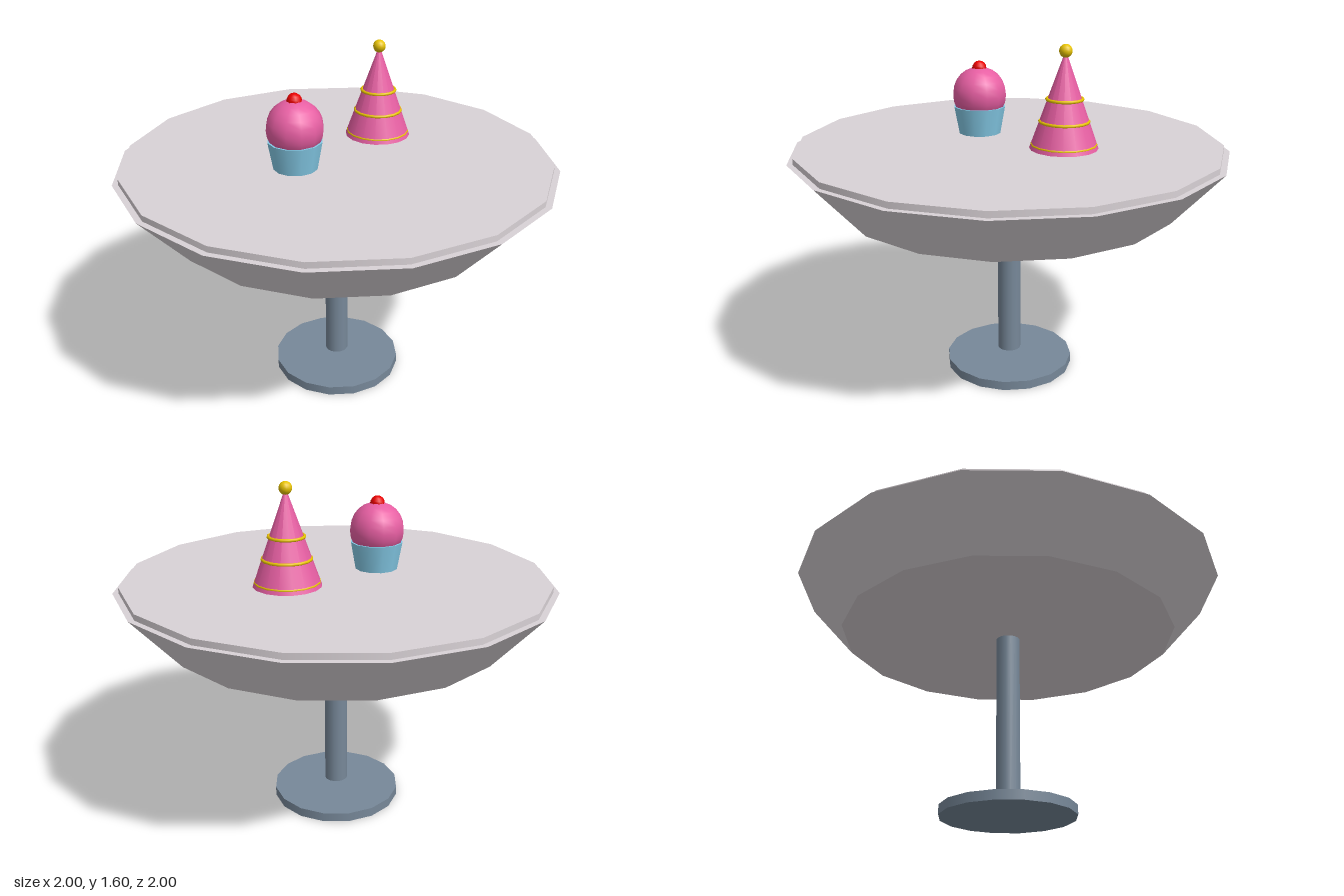
import * as THREE from 'three';

function material(name, color) {
  const m = new THREE.MeshStandardMaterial({ color });
  m.name = name;
  return m;
}

function add(parent, name, geometry, mat, x = 0, y = 0, z = 0) {
  const mesh = new THREE.Mesh(geometry, mat);
  mesh.name = name;
  mesh.position.set(x, y, z);
  parent.add(mesh);
  return mesh;
}

// Round part standing between two heights
function drum(parent, name, mat, rTop, rBottom, y0, y1, sides = 16) {
  const g = new THREE.CylinderGeometry(rTop, rBottom, y1 - y0, sides);
  return add(parent, name, g, mat, 0, (y0 + y1) / 2, 0);
}

export function createModel() {
  const model = new THREE.Group();
  model.name = 'partyTable';

  const cloth = material('pale mauve grey', 0xd9d2d6);
  const metal = material('slate grey', 0x778899);
  const pink = material('hot pink', 0xff69b4);
  const blue = material('sky blue', 0x87ceeb);
  const gold = material('gold', 0xffd700);
  const red = material('cherry red', 0xff0000);

  // Table: foot, post, flared skirt and top disc
  drum(model, 'foot', metal, 0.305, 0.305, 0, 0.043);
  drum(model, 'post', metal, 0.055, 0.055, 0.072, 0.855);
  drum(model, 'tableSkirt', cloth, 1, 0.78, 0.852, 1.1);
  drum(model, 'tableTop', cloth, 0.973, 0.973, 1.1, 1.127);

  // Cupcake
  const cupcake = new THREE.Group();
  cupcake.name = 'cupcake';
  cupcake.position.set(-0.21, 0, 0.08);
  drum(cupcake, 'cup', blue, 0.123, 0.1, 1.127, 1.255, 12);
  add(cupcake, 'frosting', new THREE.SphereGeometry(0.128, 12, 12), pink, 0, 1.311, 0);
  add(cupcake, 'cherry', new THREE.SphereGeometry(0.035, 8, 8), red, 0, 1.433, 0);
  model.add(cupcake);

  // Party hat with three gold bands and a ball on the tip
  const hat = new THREE.Group();
  hat.name = 'partyHat';
  hat.position.set(0.25, 0, -0.17);
  add(hat, 'hatCone', new THREE.ConeGeometry(0.152, 0.427, 16), pink, 0, 1.3585, 0);
  for (const [radius, y] of [[0.14, 1.163], [0.107, 1.265], [0.078, 1.362]]) {
    const band = add(hat, 'hatBand', new THREE.TorusGeometry(radius, 0.007, 8, 16), gold, 0, y, 0);
    band.rotation.x = Math.PI / 2;
  }
  add(hat, 'hatBall', new THREE.SphereGeometry(0.029, 12, 10), gold, 0, 1.568, 0);
  model.add(hat);

  return model;
}
